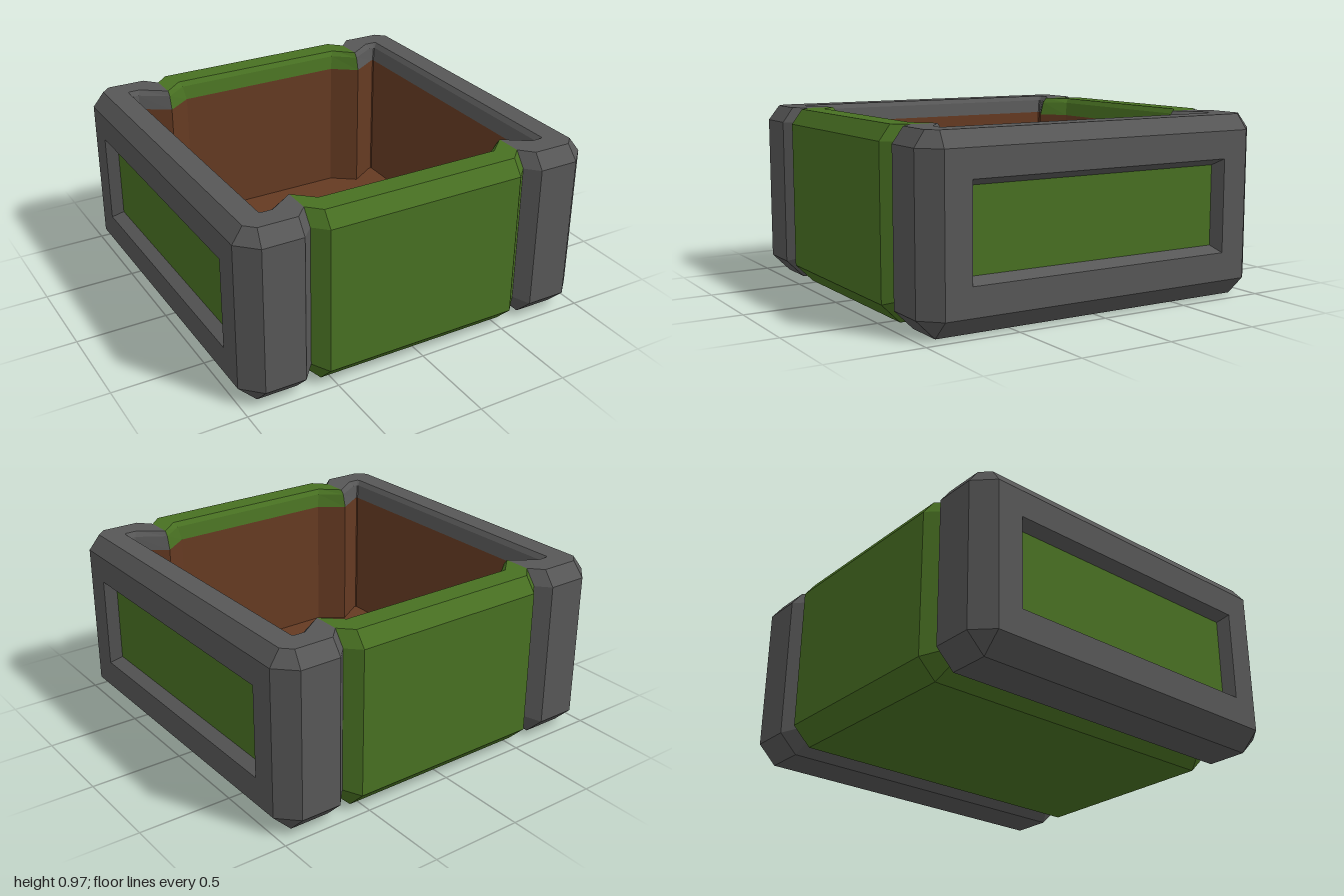
import * as THREE from 'three';

const mat = (name, color) => Object.assign(new THREE.MeshStandardMaterial({ color, flatShading: true }), { name });

// One quarter of a loop [x, z, y?], mirrored into a full ring of 20 points
function ring(y, quarter) {
  const pts = (sx, sz) => quarter.map(([x, z, h = y]) => new THREE.Vector3(x * sx, h, z * sz));
  return [...pts(1, 1), ...pts(-1, 1).reverse(), ...pts(-1, -1), ...pts(1, -1).reverse()];
}

// Rectangle on an end wall; s is the side sign
const rect = (s, x, z, y0, y1) => [[-z, y0], [z, y0], [z, y1], [-z, y1]]
  .map(([pz, py]) => new THREE.Vector3(s * x, py, s * pz));

export function createModel() {
  const grey = mat('grey stone', 0x575757);
  const green = mat('green paint', 0x487022);
  const brown = mat('brown lining', 0x653a22);

  const parts = {
    leftEndBlock: { material: grey, tris: [] },
    rightEndBlock: { material: grey, tris: [] },
    middleShell: { material: green, tris: [] },
    leftPanel: { material: green, tris: [] },
    rightPanel: { material: green, tris: [] },
    innerLining: { material: brown, tris: [] },
  };

  const tri = (part, a, b, c) => {
    if (new THREE.Triangle(a, b, c).getArea() > 1e-7) {
      parts[part].tris.push(...a.toArray(), ...b.toArray(), ...c.toArray());
    }
  };
  const quad = (part, a, b, c, d) => { tri(part, a, b, c); tri(part, a, c, d); };
  // The shell is green between the grooves and grey outside them
  const shellPart = (a, b) => {
    const x = (a.x + b.x) / 2;
    return Math.abs(x) < 0.61 ? 'middleShell' : x > 0 ? 'leftEndBlock' : 'rightEndBlock';
  };

  // Rings from the underside, up the outside, over the rim and down inside
  const wall = [[0.785, 0.78], [0.78, 0.785], [0.77, 0.785], [0.615, 0.685], [0.48, 0.785]];
  const rings = [
    ring(0, [[0.9, 0.9], [0.9, 0.9], [0.68, 0.9], [0.615, 0.87, 0.065], [0.545, 0.9]]),
    ring(0.1, [[1, 0.9], [0.9, 1], [0.68, 1], [0.615, 0.93, 0.125], [0.545, 1]]),
    ring(0.89, [[1, 0.9], [0.9, 1], [0.68, 1], [0.615, 0.93], [0.545, 1]]),
    ring(0.97, [[0.94, 0.89], [0.89, 0.94], [0.68, 0.94], [0.615, 0.87], [0.545, 0.94]]),
    ring(0.97, [[0.82, 0.81], [0.81, 0.82], [0.75, 0.82], [0.615, 0.725], [0.51, 0.82]]),
    ring(0.945, [[0.8, 0.795], [0.795, 0.8], [0.765, 0.8], [0.615, 0.705], [0.495, 0.8]]),
    ring(0.87, wall),
    ring(0.12, wall),
  ];
  const n = rings[0].length;
  for (let k = 0; k < rings.length - 1; k++) {
    const lo = rings[k], up = rings[k + 1];
    for (let i = 0; i < n; i++) {
      const j = (i + 1) % n;
      if (k === 1 && (i === 9 || i === n - 1)) continue; // end walls have recesses
      const part = k === rings.length - 2 ? 'innerLining' : shellPart(lo[i], lo[j]);
      quad(part, lo[i], up[i], up[j], lo[j]);
    }
  }

  // Inner floor
  const floor = rings[rings.length - 1];
  const centre = new THREE.Vector3(0, 0.12, 0);
  floor.forEach((p, i) => tri('innerLining', centre, floor[(i + 1) % n], p));

  // Underside strips with the two long grooves
  const base = rings[0];
  for (let i = 0; i < 9; i++) {
    quad(shellPart(base[i], base[i + 1]), base[i], base[i + 1], base[n - 2 - i], base[n - 1 - i]);
  }

  // End walls: frame, bevelled recess and inset panel
  for (const s of [1, -1]) {
    const side = s > 0 ? 'left' : 'right';
    const steps = [rect(s, 1, 0.9, 0.1, 0.89), rect(s, 1, 0.755, 0.25, 0.745), rect(s, 0.94, 0.72, 0.285, 0.71)];
    for (let k = 0; k < 2; k++) {
      for (let i = 0; i < 4; i++) {
        const j = (i + 1) % 4;
        quad(side + 'EndBlock', steps[k][i], steps[k + 1][i], steps[k + 1][j], steps[k][j]);
      }
    }
    const [a, b, c, d] = steps[2];
    quad(side + 'Panel', a, d, c, b);
  }

  const group = new THREE.Group();
  group.name = 'planterBox';
  for (const [name, { material, tris }] of Object.entries(parts)) {
    const geometry = new THREE.BufferGeometry();
    geometry.setAttribute('position', new THREE.Float32BufferAttribute(tris, 3));
    geometry.computeVertexNormals();
    const mesh = new THREE.Mesh(geometry, material);
    mesh.name = name;
    group.add(mesh);
  }
  return group;
}
